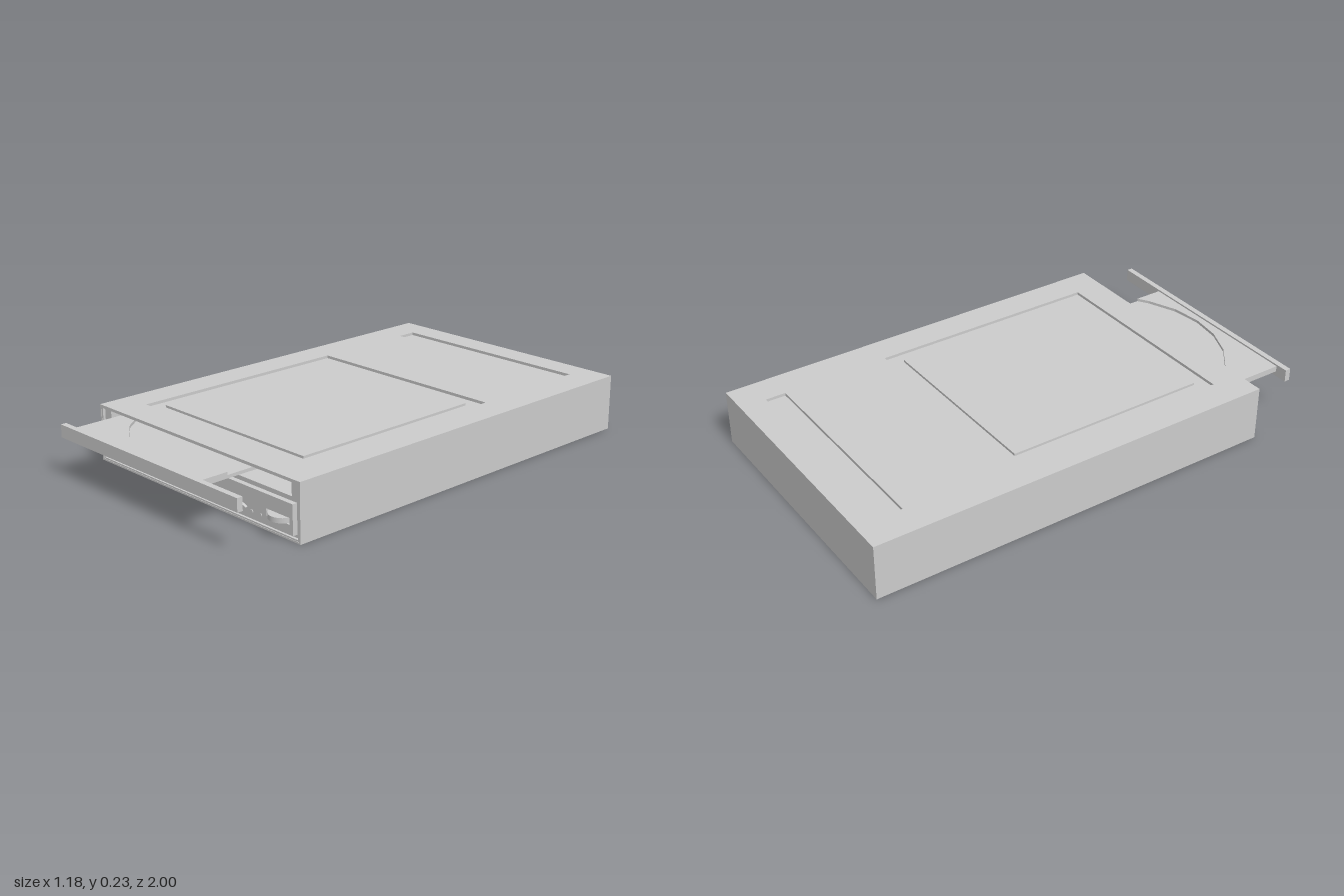
import * as THREE from 'three';

const mat = new THREE.MeshStandardMaterial({ color: 0xcccccc, flatShading: true });
const smooth = new THREE.MeshStandardMaterial({ color: 0xcccccc });

const W = 0.59, H = 0.235, BACK = -1, FRONT = 0.775;
const BEZEL = 0.762, PANEL = 0.783;

export function createModel() {
  const model = new THREE.Group();

  function add(parent, name, geo, material = mat) {
    const mesh = new THREE.Mesh(geo, material);
    mesh.name = name;
    parent.add(mesh);
    return mesh;
  }
  function group(name) {
    const g = new THREE.Group();
    g.name = name;
    model.add(g);
    return g;
  }
  // box given by its minimum and maximum on each axis
  function box(parent, name, x0, x1, y0, y1, z0, z1) {
    const mesh = add(parent, name, new THREE.BoxGeometry(x1 - x0, y1 - y0, z1 - z0));
    mesh.position.set((x0 + x1) / 2, (y0 + y1) / 2, (z0 + z1) / 2);
    return mesh;
  }
  const rect = (x0, x1, y0, y1, Type = THREE.Shape) => new Type([
    [x0, y0], [x1, y0], [x1, y1], [x0, y1],
  ].map(([x, y]) => new THREE.Vector2(x, y)));
  const hole = (...r) => rect(...r, THREE.Path);
  // shape in x and y, running from z0 to z1
  function plateXY(parent, name, shape, z0, z1) {
    const geo = new THREE.ExtrudeGeometry(shape, { depth: z1 - z0, bevelEnabled: false });
    geo.translate(0, 0, z0);
    return add(parent, name, geo);
  }
  // shape in x and z, running from y1 down to y0
  function plateXZ(parent, name, shape, y0, y1) {
    const geo = new THREE.ExtrudeGeometry(shape, { depth: y1 - y0, bevelEnabled: false });
    geo.rotateX(Math.PI / 2).translate(0, y1, 0);
    return add(parent, name, geo);
  }
  // round part standing out from the front panel
  function knob(parent, name, x, y, r, z1, sides = 16) {
    const geo = new THREE.CylinderGeometry(r, r, z1 - BEZEL, sides).rotateX(Math.PI / 2);
    add(parent, name, geo).position.set(x, y, (z1 + BEZEL) / 2);
  }

  // Metal case, open at the front
  const body = group('case');
  const t = 0.007, lid = 0.012;
  box(body, 'bottom', -W, W, 0, t, BACK, FRONT);
  for (const s of [-1, 1]) {
    const x = s * (W - t / 2);
    box(body, s < 0 ? 'rightWall' : 'leftWall', x - t / 2, x + t / 2, t, H - lid, BACK, FRONT);
  }
  box(body, 'backWall', -W + t, W - t, t, H - lid, BACK, BACK + t);

  // Lid with a pressed slot and a sunken channel round a raised panel
  const top = rect(-W, W, BACK, FRONT);
  top.holes.push(hole(-0.46, 0.455, -0.89, -0.805), hole(-0.46, 0.46, -0.345, 0.645));
  plateXZ(body, 'lid', top, H - lid, H);
  box(body, 'slotFloor', -0.47, 0.465, H - 0.02, H - lid, -0.9, -0.795);
  box(body, 'channelFloor', -0.47, 0.47, H - 0.016, H - lid, -0.355, 0.655);
  box(body, 'raisedPanel', -0.405, 0.405, H - lid, H - 0.002, -0.285, 0.59);

  // Front bezel with the tray opening
  const front = group('bezel');
  const face = rect(-W + t, W - t, t, H - lid);
  face.holes.push(hole(-0.535, 0.533, 0.163, 0.221));
  plateXY(front, 'bezelFace', face, BEZEL - 0.02, BEZEL);
  const rim = rect(-W + t, W - t, t, H - lid + 0.003);
  rim.holes.push(hole(-0.575, 0.575, 0.013, 0.223));
  plateXY(front, 'bezelRim', rim, BEZEL - 0.01, FRONT - 0.002);

  // Control panel, with a window for the wheel
  const panel = rect(-0.565, 0.56, 0.026, 0.146);
  panel.holes.push(hole(0.42, 0.543, 0.064, 0.09));
  plateXY(front, 'controlPanel', panel, BEZEL, PANEL);

  // Controls
  const controls = group('controls');
  knob(controls, 'socketRing', -0.523, 0.056, 0.017, 0.792);
  knob(controls, 'smallSocket', -0.447, 0.056, 0.012, 0.788);
  knob(controls, 'lamp', 0.342, 0.055, 0.007, 0.786, 12);
  knob(controls, 'lamp', 0.39, 0.055, 0.007, 0.786, 12);
  box(controls, 'sliderBase', -0.377, -0.305, 0.043, 0.06, BEZEL, 0.786);
  box(controls, 'slider', -0.365, -0.315, 0.046, 0.056, BEZEL, 0.8);

  // Pair of pointed buttons
  for (const [s, base] of [[-1, 0.223], [1, 0.25]]) {
    const p = new THREE.Shape();
    p.moveTo(base, 0.041);
    p.lineTo(base + s * 0.012, 0.042);
    p.lineTo(base + s * 0.055, 0.058);
    p.quadraticCurveTo(base + s * 0.078, 0.065, base + s * 0.055, 0.072);
    p.lineTo(base + s * 0.012, 0.088);
    p.lineTo(base, 0.089);
    plateXY(controls, s < 0 ? 'backButton' : 'forwardButton', p, BEZEL, 0.794);
  }

  // Thumb wheel lying flat
  const wheel = new THREE.CylinderGeometry(0.057, 0.057, 0.02, 32);
  add(controls, 'thumbWheel', wheel, smooth).position.set(0.482, 0.077, 0.757);

  // Tray, pulled out, with a round disc recess
  const tray = group('tray');
  const x0 = -0.475, x1 = 0.295;
  box(tray, 'trayFront', -0.53, 0.523, 0.166, 0.219, 0.976, 1);
  box(tray, 'trayFloor', x0, x1, 0.187, 0.2, -0.1, 0.976);
  const R = 0.5, C = 0.45;
  const recess = new THREE.Shape();
  recess.moveTo(x0, 0.976);
  recess.lineTo(x0, C + Math.sqrt(R * R - x0 * x0));
  for (let a = 150; a >= 60; a -= 15) {
    const r = a * Math.PI / 180;
    recess.lineTo(R * Math.cos(r), C + R * Math.sin(r));
  }
  recess.lineTo(x1, C + Math.sqrt(R * R - x1 * x1));
  recess.lineTo(x1, 0.976);
  plateXZ(tray, 'trayRim', recess, 0.2, 0.212);

  return model;
}
